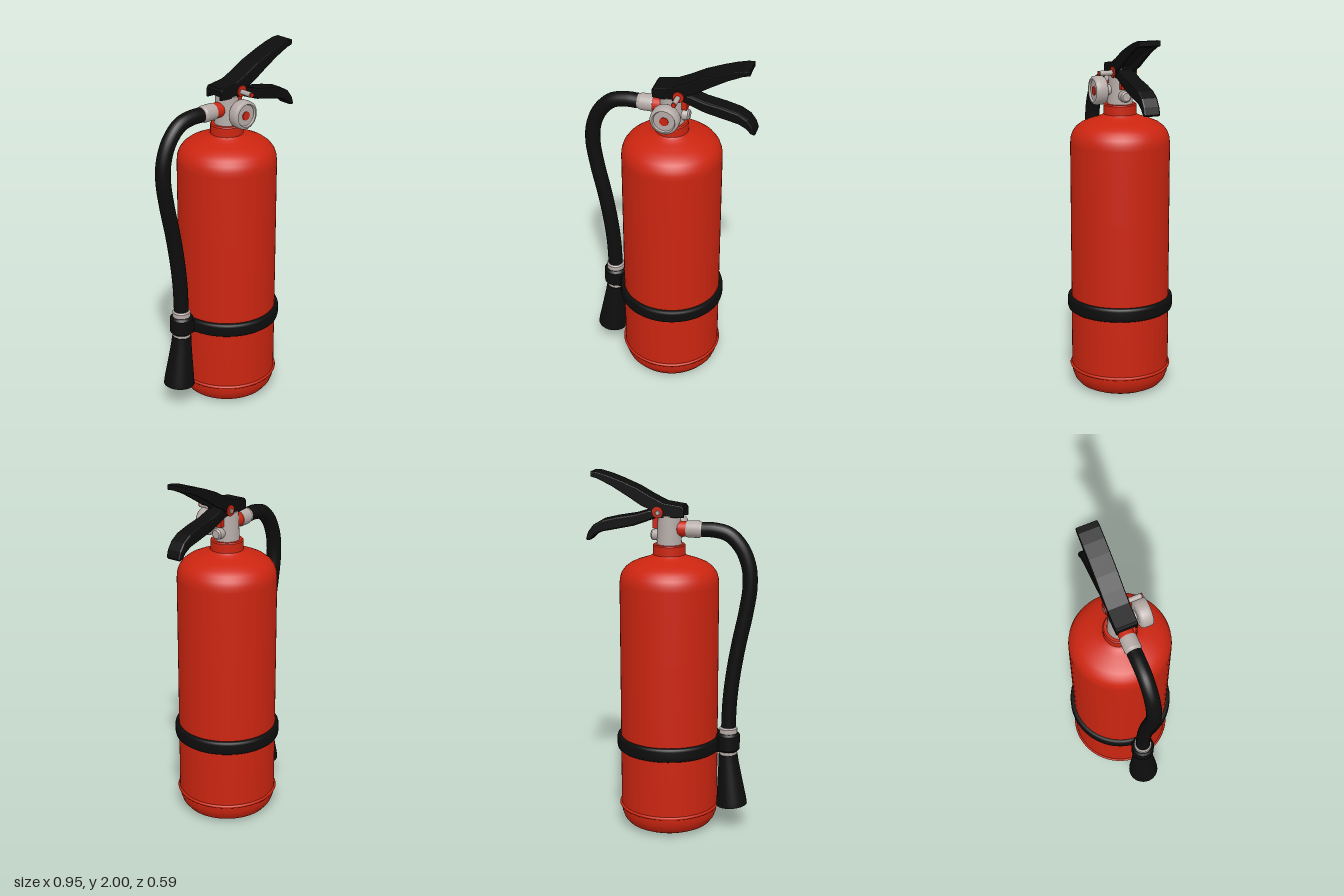
import * as THREE from 'three';

const mat = (name, color) => Object.assign(new THREE.MeshStandardMaterial({ color }), { name });

export function createModel() {
  const model = new THREE.Group();
  model.name = 'fireExtinguisher';
  const red = mat('red', 0xcc2510);
  const black = mat('black', 0x0d0d0d);
  const silver = mat('silver', 0xb5aba7);
  const CX = 0.013; // tank axis

  const add = (name, geo, material, x = 0, y = 0, z = 0) => {
    const mesh = new THREE.Mesh(geo, material);
    mesh.name = name;
    mesh.position.set(x, y, z);
    model.add(mesh);
    return mesh;
  };
  const lathe = (pts, seg = 48) =>
    new THREE.LatheGeometry(pts.map(([r, y]) => new THREE.Vector2(r, y)), seg);
  // Turned part with a small chamfer, from y = 0 to y = h
  const turned = (r0, r1, h, c = 0.008, seg = 28) =>
    lathe([[0, 0], [r0 - c, 0], [r0 - c, 0], [r0, c], [r0, c], [r1, h - c], [r1, h - c], [r1 - c, h], [r1 - c, h], [0, h]], seg);
  // Side outline extruded across z, centred on zc
  const slab = (pts, width, zc = 0, bevel = 0.005) => {
    const geo = new THREE.ExtrudeGeometry(new THREE.Shape(pts.map(([x, y]) => new THREE.Vector2(x, y))), {
      depth: width - 2 * bevel, bevelEnabled: true, bevelSize: bevel, bevelThickness: bevel,
      bevelOffset: -bevel, bevelSegments: 2,
    });
    return geo.translate(0, 0, zc - width / 2 + bevel);
  };

  // Tank with rounded base and shoulder
  add('tank', lathe([
    [0, 0.02], [0.03, 0.012], [0.12, 0.003], [0.17, 0], [0.205, 0.007], [0.235, 0.022], [0.256, 0.048],
    [0.268, 0.08], [0.272, 0.115], [0.272, 0.5], [0.272, 1.0], [0.272, 1.4], [0.269, 1.43], [0.26, 1.458],
    [0.242, 1.483], [0.215, 1.504], [0.18, 1.52], [0.13, 1.537], [0.1, 1.548], [0.088, 1.56],
  ], 64), red, CX);
  add('neck', turned(0.089, 0.089, 0.075, 0.006, 40), red, CX, 1.54);
  const bead = add('weldBead', new THREE.TorusGeometry(0.273, 0.009, 8, 64), red, CX, 0.122);
  bead.rotation.x = Math.PI / 2;

  // Strap around the tank, with the clip that holds the hose
  add('strap', lathe([
    [0.27, 0.458], [0.283, 0.458], [0.29, 0.463], [0.293, 0.475], [0.293, 0.518],
    [0.29, 0.53], [0.283, 0.535], [0.27, 0.535],
  ], 64), black, CX);
  add('hoseClip', turned(0.065, 0.065, 0.106, 0.012), black, -0.325, 0.457);
  add('clipLink', new THREE.BoxGeometry(0.05, 0.074, 0.1), black, -0.272, 0.4965);

  // Hose, its lower collar and the discharge horn
  const path = new THREE.CatmullRomCurve3([
    [-0.17, 1.7], [-0.235, 1.7], [-0.315, 1.68], [-0.385, 1.61], [-0.426, 1.51], [-0.434, 1.4], [-0.413, 1.25],
    [-0.378, 1.08], [-0.348, 0.9], [-0.331, 0.74], [-0.325, 0.57],
  ].map(([x, y]) => new THREE.Vector3(x, y, 0)));
  add('hose', new THREE.TubeGeometry(path, 64, 0.041, 20), black);
  add('hoseCollar', turned(0.05, 0.05, 0.167), silver, -0.325, 0.43);
  const horn = add('horn', lathe([
    [0, 0.02], [0.076, 0.02], [0.08, 0], [0.08, 0], [0.086, 0], [0.086, 0],
    [0.084, 0.03], [0.07, 0.14], [0.058, 0.24], [0.053, 0.3], [0.053, 0.3], [0, 0.3],
  ], 32), black, -0.35, 0.138);
  horn.rotation.z = -0.085;

  // Valve body and hose outlet
  add('valveBody', turned(0.068, 0.062, 0.175), silver, CX, 1.605);
  const outlet = add('hoseOutlet', lathe([
    [0, 0], [0.044, 0], [0.044, 0], [0.046, 0.01], [0.046, 0.07], [0.046, 0.07], [0.04, 0.08], [0.04, 0.11], [0, 0.11],
  ], 28), silver, -0.085, 1.7);
  outlet.rotation.z = Math.PI / 2;
  const seal = add('outletSeal', turned(0.042, 0.042, 0.055, 0.004), red, -0.035, 1.7);
  seal.rotation.z = Math.PI / 2;
  const knob = add('sideKnob', turned(0.036, 0.03, 0.1), silver, 0.012, 1.662);
  knob.rotation.z = -Math.PI / 2;
  add('valveStem', new THREE.BoxGeometry(0.06, 0.07, 0.05), red, 0.07, 1.735);

  // Pressure gauge on the front
  const turnToFront = (mesh) => { mesh.rotation.x = Math.PI / 2; return mesh; };
  turnToFront(add('gaugeStem', turned(0.028, 0.028, 0.06, 0.003), silver, CX, 1.692, 0.04));
  turnToFront(add('gauge', lathe([
    [0, 0], [0.055, 0], [0.07, 0.006], [0.077, 0.018], [0.078, 0.05], [0.076, 0.065], [0.069, 0.072],
    [0.062, 0.072], [0.062, 0.072], [0.057, 0.062], [0.057, 0.062], [0, 0.062],
  ], 36), silver, CX, 1.692, 0.086));
  turnToFront(add('gaugeMark', new THREE.CylinderGeometry(0.024, 0.024, 0.006, 24), red, CX, 1.69, 0.15));

  // Upper lever: a channel open below, made of a web and two cheeks
  const leverTop = [
    [-0.08, 1.815], [-0.07, 1.829], [0.03, 1.843], [0.1, 1.876], [0.18, 1.92],
    [0.27, 1.957], [0.34, 1.982], [0.4, 1.998], [0.435, 2.0],
  ];
  const leverBottom = [
    [0.435, 1.972], [0.4, 1.963], [0.32, 1.925], [0.23, 1.872], [0.16, 1.828], [0.115, 1.808],
    [0.07, 1.77], [0.02, 1.757], [-0.02, 1.765], [-0.08, 1.768],
  ];
  const web = leverTop.concat(leverTop.map(([x, y]) => [x, y - 0.026]).reverse());
  add('upperLeverWeb', slab(web, 0.118), black);
  for (const s of [1, -1]) add('upperLeverCheek', slab([...leverTop, ...leverBottom], 0.016, s * 0.051), black);

  // Lower carrying handle
  add('carryingHandle', slab([
    [0.0, 1.78], [0.06, 1.805], [0.12, 1.8], [0.2, 1.775], [0.3, 1.757], [0.38, 1.737], [0.43, 1.708],
    [0.46, 1.668], [0.472, 1.63], [0.465, 1.62], [0.445, 1.625], [0.42, 1.652], [0.38, 1.673], [0.3, 1.69],
    [0.2, 1.712], [0.13, 1.738], [0.08, 1.758], [0.02, 1.755],
  ], 0.092, 0, 0.01), black);

  // Pivot washers and safety pin
  for (const s of [1, -1])
    turnToFront(add('pivotWasher', new THREE.CylinderGeometry(0.03, 0.03, 0.008, 24), red, 0.064, 1.793, s * 0.061));
  turnToFront(add('safetyPin', turned(0.014, 0.014, 0.208, 0.003, 16), silver, 0.062, 1.79, -0.07));
  turnToFront(add('pinTip', new THREE.CylinderGeometry(0.013, 0.013, 0.006, 16), red, 0.062, 1.79, 0.14));

  return model;
}
